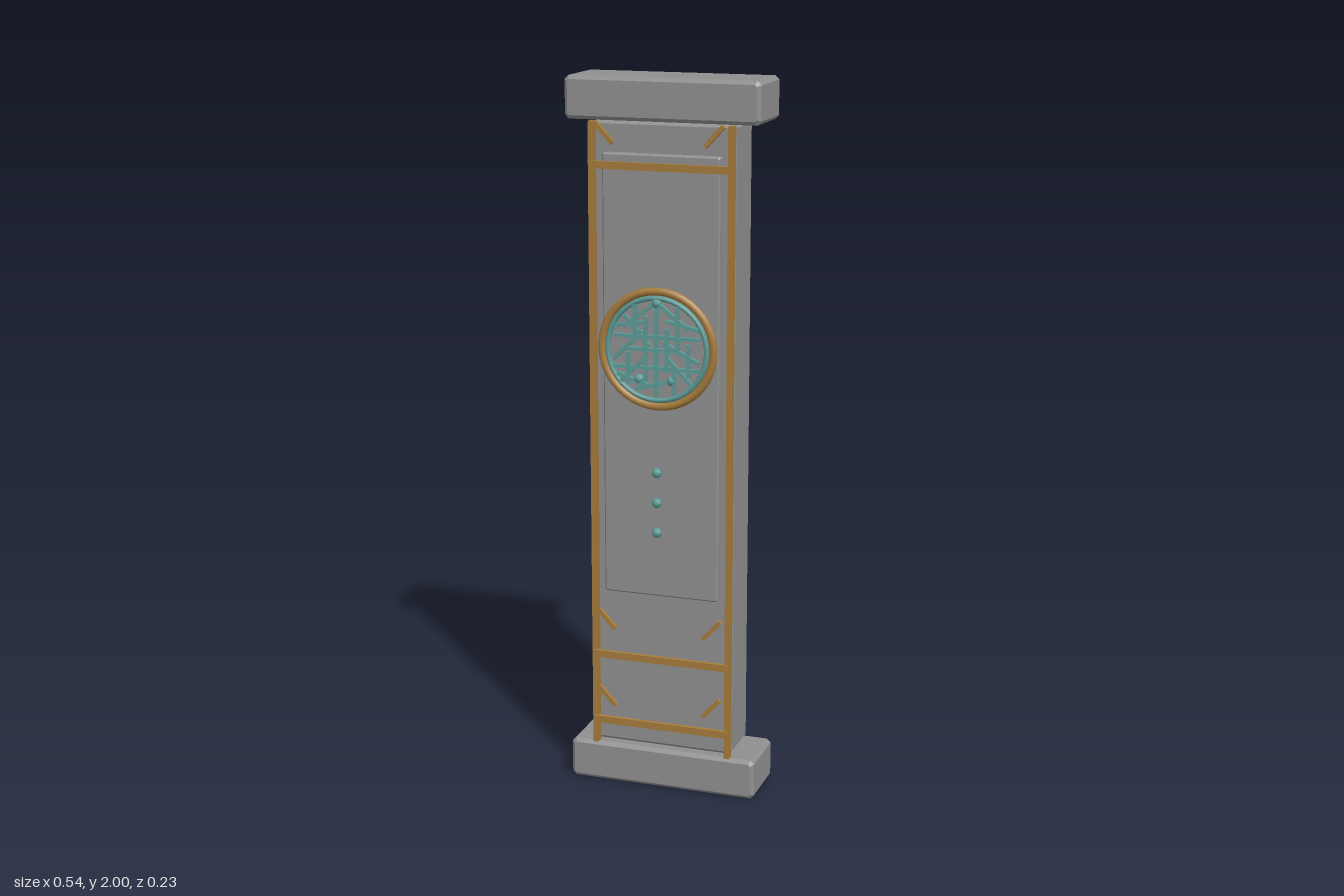
import * as THREE from 'three';

const mat = (name, color) => Object.assign(new THREE.MeshStandardMaterial({ color }), { name });

// Box with 45-degree chamfers on every edge, flat faces
function chamferBox(w, h, d, c) {
  const x = w / 2 - c, y = h / 2 - c, k = c * 0.5;
  const s = new THREE.Shape([
    [-x + k, -y], [x - k, -y], [x, -y + k], [x, y - k],
    [x - k, y], [-x + k, y], [-x, y - k], [-x, -y + k],
  ].map(([a, b]) => new THREE.Vector2(a, b)));
  const g = new THREE.ExtrudeGeometry(s, {
    depth: d - 2 * c, bevelEnabled: true, bevelSize: c, bevelThickness: c, bevelSegments: 1,
  });
  return g.translate(0, 0, -d / 2 + c);
}

export function createModel() {
  const stone = mat('stone grey', 0x8f8f8f);
  const gold = mat('aged gold', 0xa67c3d);
  const teal = mat('glowing teal', 0x5c9c98);
  const root = new THREE.Group();
  root.name = 'pillar';

  function add(name, geometry, material, x, y, z, parent = root) {
    const m = new THREE.Mesh(geometry, material);
    m.name = name;
    m.position.set(x, y, z);
    parent.add(m);
    return m;
  }

  // Thin bar between two points in the front plane
  function bar(name, material, x1, y1, x2, y2, z, width, depth, parent) {
    const len = Math.hypot(x2 - x1, y2 - y1);
    const m = add(name, new THREE.BoxGeometry(len, width, depth), material,
      (x1 + x2) / 2, (y1 + y2) / 2, z, parent);
    m.rotation.z = Math.atan2(y2 - y1, x2 - x1);
    return m;
  }

  // Stone body
  add('base', chamferBox(0.544, 0.115, 0.186, 0.01), stone, 0, 0.0575, -0.024);
  add('capital', chamferBox(0.544, 0.115, 0.186, 0.01), stone, 0, 1.9425, -0.024);
  add('shaft', chamferBox(0.4, 1.765, 0.15, 0.008), stone, 0, 1.0, -0.03);
  add('frontPanel', chamferBox(0.33, 1.225, 0.034, 0.004), stone, 0, 1.1875, 0.053);

  // Gold frame: rails, cross bands and corner ticks
  for (const s of [-1, 1]) {
    add('sideRail', new THREE.BoxGeometry(0.014, 1.765, 0.026), gold, s * 0.195, 1.0, 0.063);
    for (const y of [1.856, 0.498, 0.268])
      bar('cornerTick', gold, s * 0.179, y + 0.027, s * 0.129, y - 0.027, 0.086, 0.012, 0.012);
  }
  for (const y of [1.768, 0.388, 0.19])
    add('crossBand', new THREE.BoxGeometry(0.4, 0.02, 0.012), gold, 0, y, 0.075);

  // Medallion
  const medallion = new THREE.Group();
  medallion.name = 'medallion';
  medallion.position.set(0, 1.283, 0.096);
  root.add(medallion);
  add('goldRing', new THREE.TorusGeometry(0.158, 0.011, 8, 40), gold, 0, 0, 0, medallion);
  add('tealRing', new THREE.TorusGeometry(0.14, 0.007, 6, 40), teal, 0, 0, 0.005, medallion);

  // Interlaced strokes inside the rings: x1, y1, x2, y2 in hundredths
  const strokes = [
    [0, -13, 0, 14], [-12, 3.5, 12, 3.5], [-12, -5, 12, -5], [-10, 0, 5, 0],
    [-6, 12, -6, 2], [6, 12, 6, -1], [-8, -1, -8, -10], [5, -4, 5, -12],
    [0, 13, -9, 6], [0, 13, 9, 6], [-12, 6, -3, 7.5], [3, 8, 12, 6],
    [-4, 5, -12, -3], [2, 2, 12, -3], [-3, -2, -10, -9], [3, -2, 10, -9],
    [-6, -11, 6, -8], [-3, 9, -3, -9], [3, 6, 3, -6], [-11, -7, -2, -10],
    [9, 2, 9, -7], [-9, 9, -2, 1],
  ];
  strokes.forEach((p, i) => {
    const [x1, y1, x2, y2] = p.map((v) => v / 100);
    bar('glyphStroke', teal, x1, y1, x2, y2, 0.009 + (i % 4) * 0.0005, 0.01, 0.01, medallion);
  });

  // Teal studs on the medallion and down the panel
  const stud = new THREE.SphereGeometry(0.014, 8, 6);
  for (const [x, y] of [[-0.05, 1.2], [0.043, 1.2], [0, 1.41], [0, 0.94], [0, 0.855], [0, 0.77]])
    add('stud', stud, teal, x, y, 0.102);

  return root;
}
